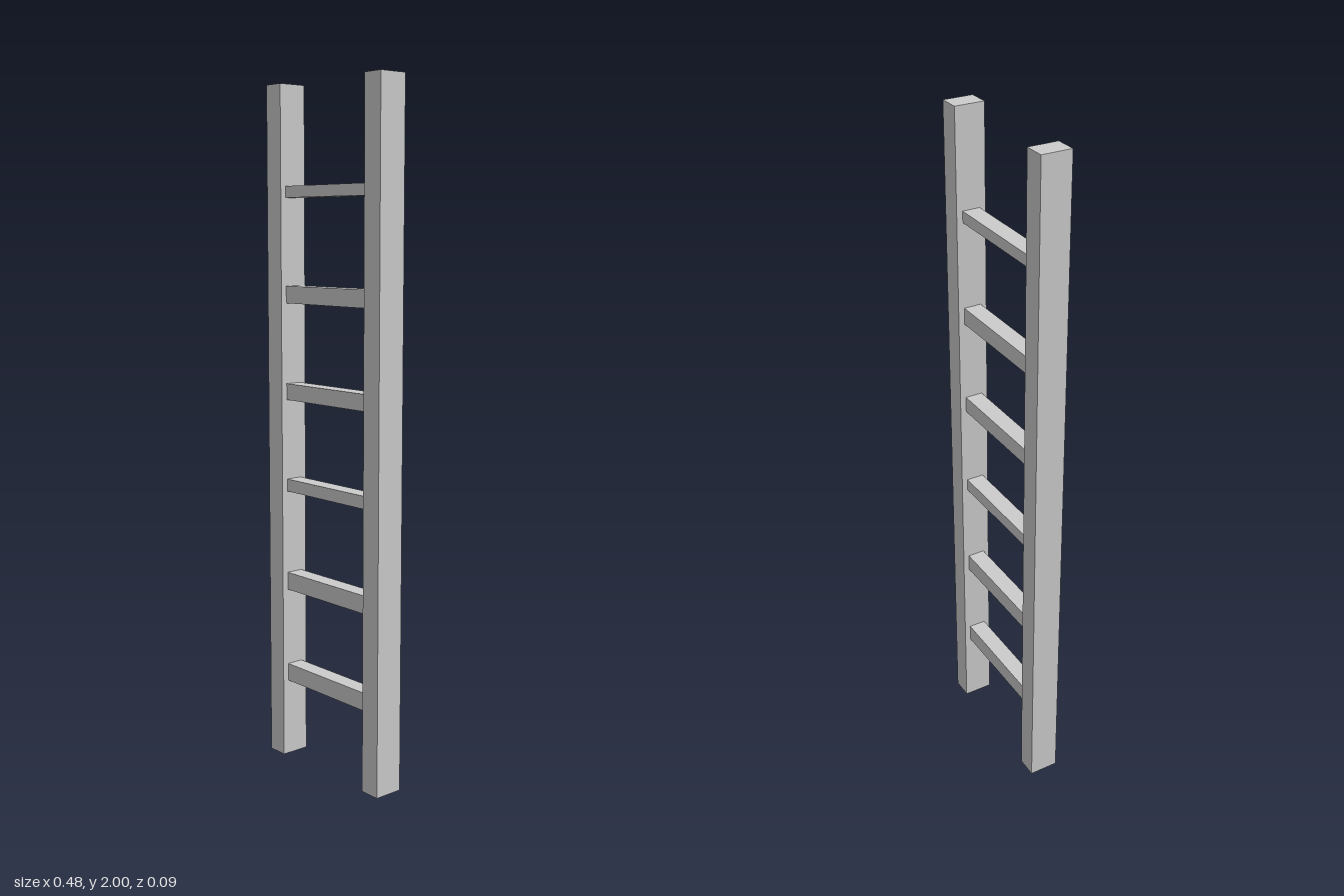
import * as THREE from 'three';

export function createModel() {
  const group = new THREE.Group();
  const material = new THREE.MeshStandardMaterial({ color: 0xcccccc, flatShading: true });

  function addBox(name, w, h, d, x, y) {
    const mesh = new THREE.Mesh(new THREE.BoxGeometry(w, h, d), material);
    mesh.name = name;
    mesh.position.set(x, y, 0);
    group.add(mesh);
  }

  // Two upright rails
  const railWidth = 0.063, railX = 0.2105;
  addBox('leftRail', railWidth, 2, 0.088, railX, 1);
  addBox('rightRail', railWidth, 2, 0.088, -railX, 1);

  // Rungs of uneven thickness, their tops evenly spaced, bottom to top
  const rungHeights = [0.053, 0.053, 0.037, 0.048, 0.05, 0.033];
  const rungLength = 2 * railX - railWidth;
  rungHeights.forEach((h, i) => {
    const top = (2 / 7) * (i + 1);
    addBox(`rung${i + 1}`, rungLength, h, 0.052, 0, top - h / 2);
  });

  return group;
}
